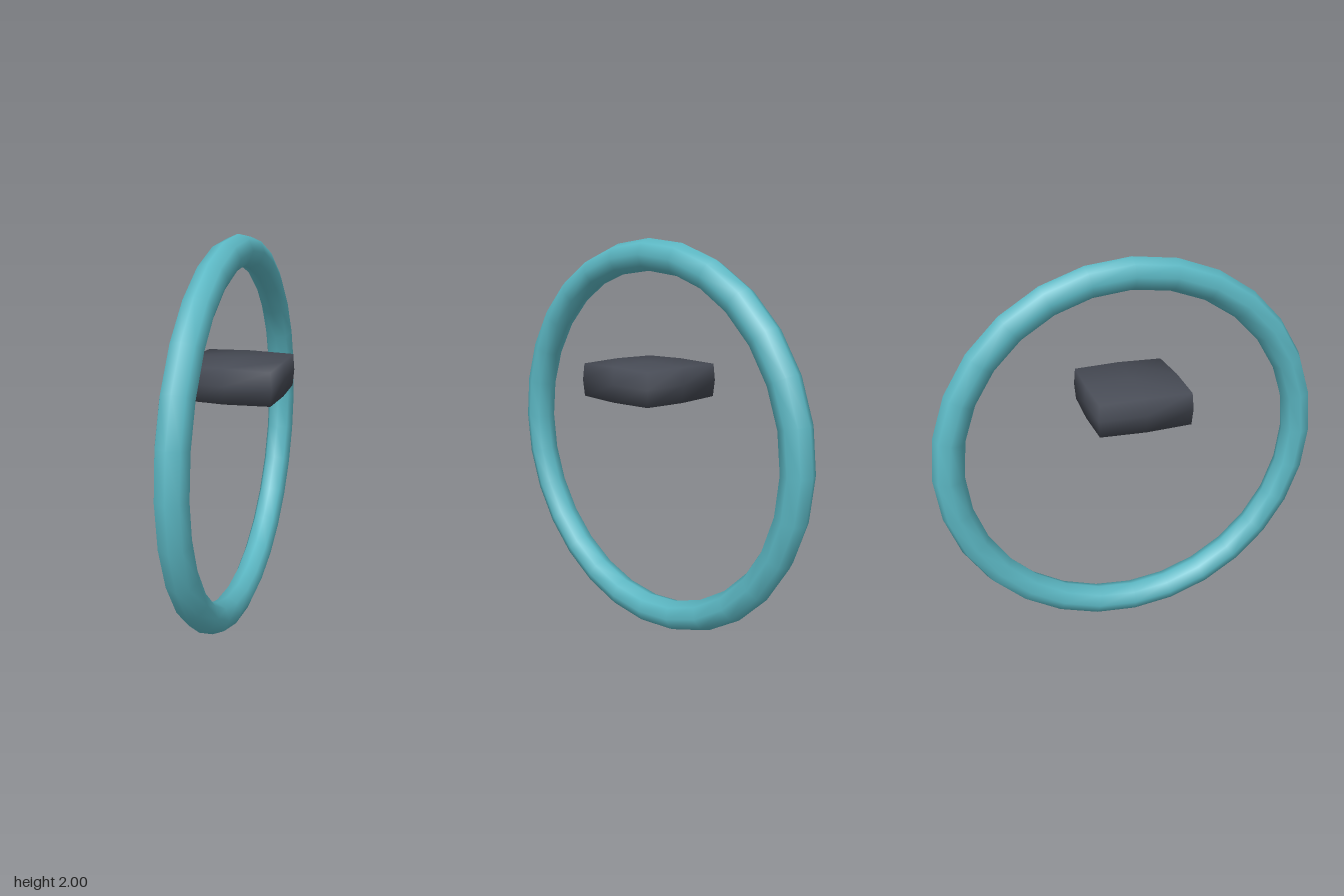
import * as THREE from 'three';
import { mergeVertices } from 'three/addons/utils/BufferGeometryUtils.js';

const teal = new THREE.MeshStandardMaterial({ color: 0x5cb8c4 });
const charcoal = new THREE.MeshStandardMaterial({ color: 0x474b55 });
teal.name = 'teal';
charcoal.name = 'charcoal';

// Box with two segments per side, its edges and faces bulged slightly outwards, smooth shaded
function pillowBox(width, height, depth) {
  let geo = new THREE.BoxGeometry(2, 2, 2, 2, 2, 2);
  geo.deleteAttribute('uv');
  geo.deleteAttribute('normal');
  geo = mergeVertices(geo);
  geo.clearGroups();
  const pos = geo.attributes.position;
  for (let i = 0; i < pos.count; i++) {
    const p = [pos.getX(i), pos.getY(i), pos.getZ(i)];
    const centred = p.filter((c) => Math.abs(c) < 0.01).length; // 0 corner, 1 edge, 2 face centre
    pos.setXYZ(
      i,
      p[0] * (width / 2 + 0.006 * centred),
      p[1] * (height / 2 + 0.005 * centred),
      p[2] * (depth / 2 + 0.006 * centred)
    );
  }
  geo.computeVertexNormals();
  return geo;
}

export function createModel() {
  const model = new THREE.Group();

  // Upright hoop in the yz plane
  const hoop = new THREE.Mesh(new THREE.TorusGeometry(0.9225, 0.0775, 8, 28), teal);
  hoop.name = 'hoop';
  hoop.rotation.y = Math.PI / 2;
  hoop.position.y = 1;
  model.add(hoop);

  // Floating block inside the hoop
  const block = new THREE.Mesh(pillowBox(0.456, 0.164, 0.456), charcoal);
  block.name = 'block';
  block.position.y = 1.31;
  model.add(block);

  return model;
}
